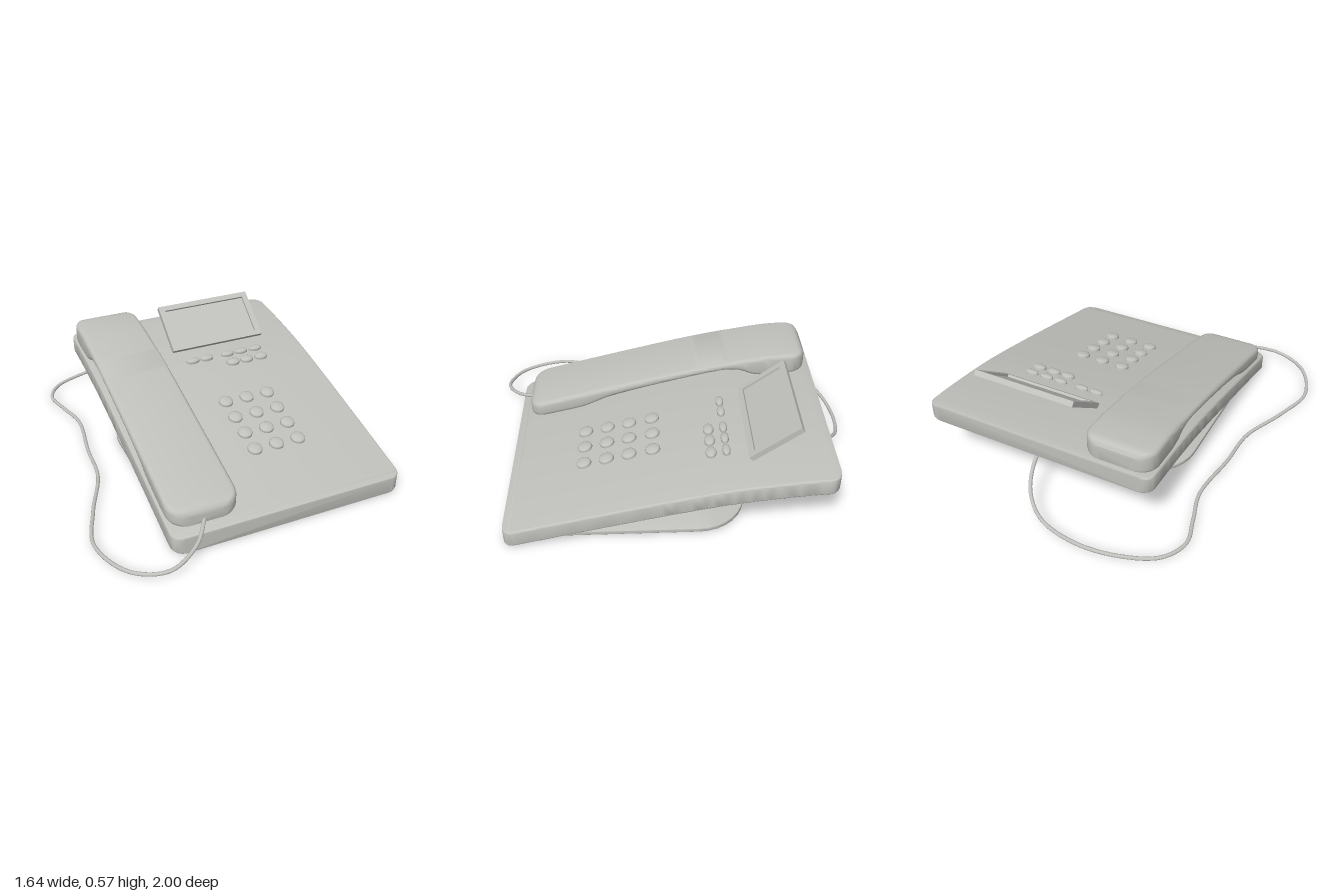
import * as THREE from 'three';
import { toCreasedNormals } from 'three/addons/utils/BufferGeometryUtils.js';

// Smooth function y(z) through a few points listed from front (+z) to back
function profile(pts) {
  const slope = (i) => {
    const a = pts[Math.max(i - 1, 0)], b = pts[Math.min(i + 1, pts.length - 1)];
    return (b[1] - a[1]) / (b[0] - a[0]);
  };
  return (z) => {
    let i = 0;
    while (i < pts.length - 2 && z < pts[i + 1][0]) i++;
    const [z0, y0] = pts[i], [z1, y1] = pts[i + 1], h = z1 - z0;
    const t = THREE.MathUtils.clamp((z - z0) / h, 0, 1), t2 = t * t, t3 = t2 * t;
    return (2 * t3 - 3 * t2 + 1) * y0 + (t3 - 2 * t2 + t) * h * slope(i)
      + (3 * t2 - 2 * t3) * y1 + (t3 - t2) * h * slope(i + 1);
  };
}

// Loft of rounded-rectangle sections along z; R rounds the plan corners, r the long edges
function loft({ x0, x1, front, back, R, r, top, bottom }) {
  const stations = [], ends = 8, mid = 44, arc = 5;
  for (let i = 0; i <= ends; i++) {
    const a = (Math.PI / 2) * (1 - i / ends);
    stations.push([front - R * (1 - Math.sin(a)), R * (1 - Math.cos(a))]);
  }
  for (let i = 1; i < mid; i++) stations.push([THREE.MathUtils.lerp(front - R, back + R, i / mid), 0]);
  for (let i = 0; i <= ends; i++) {
    const a = (Math.PI / 2) * (i / ends);
    stations.push([back + R * (1 - Math.sin(a)), R * (1 - Math.cos(a))]);
  }
  const pos = [], index = [], n = 4 * arc;
  for (const [z, inset] of stations) {
    const l = x0 + inset, rt = x1 - inset, t = top(z), b = bottom(z);
    const e = Math.min(r, (t - b) * 0.45);
    [[rt, t, -1, -1], [l, t, 1, -1], [l, b, 1, 1], [rt, b, -1, 1]].forEach(([x, y, sx, sy], c) => {
      for (let k = 0; k < arc; k++) {
        const a = (Math.PI / 2) * (c + k / (arc - 1));
        pos.push(x + sx * e + e * Math.cos(a), y + sy * e + e * Math.sin(a), z);
      }
    });
  }
  const last = stations.length - 1;
  for (let i = 0; i < last; i++) {
    for (let j = 0; j < n; j++) {
      const a = i * n + j, b = i * n + (j + 1) % n, c = a + n, d = b + n;
      index.push(a, c, b, b, c, d);
    }
  }
  for (let j = 1; j < n - 1; j++) {
    index.push(0, j, j + 1, last * n, last * n + j + 1, last * n + j);
  }
  const geo = new THREE.BufferGeometry();
  geo.setAttribute('position', new THREE.Float32BufferAttribute(pos, 3));
  geo.setIndex(index);
  return toCreasedNormals(geo, 0.6);
}

function rectangle(target, w, h) {
  target.moveTo(-w / 2, -h / 2);
  target.lineTo(w / 2, -h / 2);
  target.lineTo(w / 2, h / 2);
  target.lineTo(-w / 2, h / 2);
  target.closePath();
  return target;
}

export function createModel() {
  const model = new THREE.Group();
  model.name = 'deskTelephone';
  const grey = new THREE.MeshStandardMaterial({ color: 0xc0c0bc });
  grey.name = 'lightGrey';
  const add = (name, geo, parent = model) => {
    const mesh = new THREE.Mesh(geo, grey);
    mesh.name = name;
    parent.add(mesh);
    return mesh;
  };

  // Curved sloping housing
  const deck = profile([[0.87, 0.1], [0.4, 0.21], [0, 0.3], [-0.3, 0.358], [-0.6, 0.395], [-0.8, 0.41]]);
  add('body', loft({
    x0: -0.48, x1: 0.82, front: 0.87, back: -0.8, R: 0.06, r: 0.012,
    top: deck, bottom: (z) => deck(z) - 0.095,
  }));

  // Flat foot plate under the front half
  add('footPlate', loft({
    x0: -0.42, x1: 0.75, front: 0.82, back: -0.37, R: 0.25, r: 0.004,
    top: () => 0.035, bottom: () => 0.01,
  }));

  // Handset with deep ends and a thin raised grip
  add('handset', loft({
    x0: -0.47, x1: -0.09, front: 0.81, back: -0.77, R: 0.09, r: 0.025,
    top: profile([[0.81, 0.175], [0.8, 0.193], [0.77, 0.208], [0.4, 0.303], [0, 0.4], [-0.3, 0.462],
      [-0.55, 0.505], [-0.7, 0.515], [-0.75, 0.512], [-0.77, 0.49]]),
    bottom: profile([[0.81, 0.11], [0.52, 0.178], [0.46, 0.2], [0.35, 0.25], [0, 0.35], [-0.3, 0.42],
      [-0.4, 0.415], [-0.48, 0.385], [-0.56, 0.382], [-0.77, 0.4]]),
  }));

  // Tilted display with a recessed face
  const display = new THREE.Group();
  display.name = 'display';
  display.position.set(0.325, 0.468, -0.502);
  display.rotation.x = -Math.atan2(0.25, 0.185);
  model.add(display);
  const frame = rectangle(new THREE.Shape(), 0.59, 0.305);
  frame.holes.push(rectangle(new THREE.Path(), 0.52, 0.24));
  const frameGeo = new THREE.ExtrudeGeometry(frame, { depth: 0.03, bevelEnabled: false });
  add('displayFrame', frameGeo.translate(0, 0, -0.015), display);
  add('displayScreen', new THREE.BoxGeometry(0.53, 0.25, 0.015), display).position.z = -0.006;

  // Low domed keys standing on the sloping deck
  const keyGeo = new THREE.LatheGeometry(
    [[1, -0.02], [1, 0.012], [0.94, 0.018], [0.7, 0.023], [0.35, 0.025], [0, 0.026]]
      .map(([x, y]) => new THREE.Vector2(x, y)), 28);
  const key = (name, x, z, rx, rz) => {
    const mesh = add(name, keyGeo);
    mesh.position.set(x, deck(z) - 0.003, z);
    mesh.rotation.x = Math.atan((deck(z - 0.02) - deck(z + 0.02)) / 0.04);
    mesh.scale.set(rx, 1, rz);
  };
  [0.105, 0.23, 0.35, 0.47].forEach((z) => {
    [0.15, 0.28, 0.41].forEach((x) => key('numberKey', x, z, 0.04, 0.04));
  });
  [0.11, 0.2, 0.335, 0.425, 0.52].forEach((x) => {
    key('functionKey', x, -0.268, 0.04, 0.021);
    if (x > 0.3) key('functionKey', x, -0.19, 0.04, 0.028);
  });

  // Loose cord from the handset around the side to the underside at the back
  const path = new THREE.CatmullRomCurve3([
    [-0.28, 0.135, 0.79], [-0.38, 0.092, 0.92], [-0.54, 0.05, 0.99], [-0.71, 0.034, 0.91],
    [-0.81, 0.028, 0.67], [-0.74, 0.026, 0.42], [-0.63, 0.026, 0.15], [-0.61, 0.026, -0.1],
    [-0.575, 0.026, -0.4], [-0.62, 0.024, -0.59], [-0.65, 0.02, -0.74], [-0.58, 0.016, -0.87],
    [-0.4, 0.016, -0.955], [-0.17, 0.026, -0.99], [0.04, 0.06, -0.96], [0.15, 0.115, -0.88],
    [0.2, 0.18, -0.78], [0.2, 0.315, -0.63],
  ].map((p) => new THREE.Vector3(...p)));
  add('cord', new THREE.TubeGeometry(path, 160, 0.01, 10));

  return model;
}
